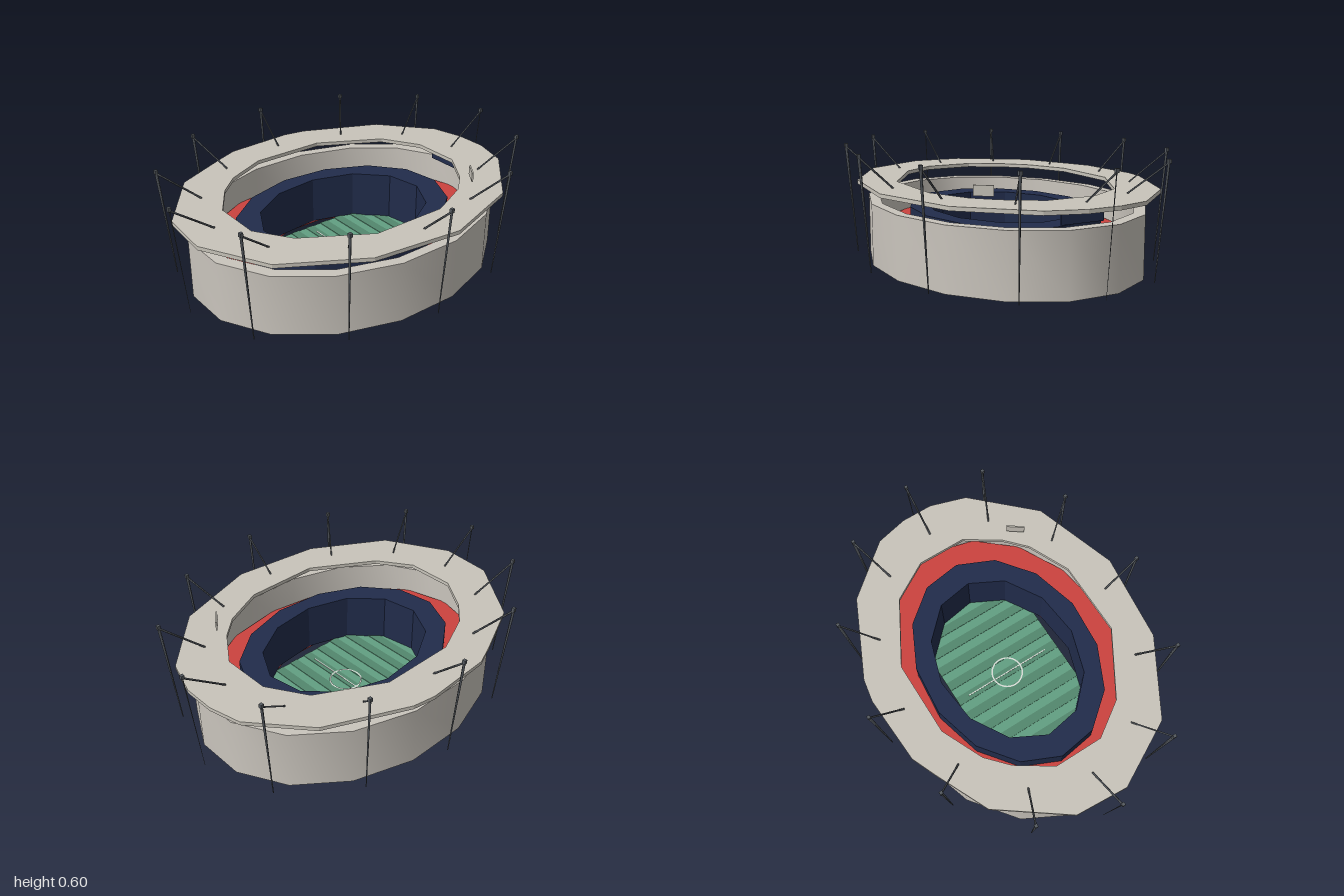
import * as THREE from 'three';
import { toCreasedNormals } from 'three/addons/utils/BufferGeometryUtils.js';

const mat = (name, color) => Object.assign(new THREE.MeshStandardMaterial({ color }), { name });

// Points of a many-sided oval, in plan (x, z)
function oval(rx, rz, sides, turn = 0) {
  return Array.from({ length: sides }, (_, i) => {
    const a = ((i + turn) / sides) * Math.PI * 2;
    return new THREE.Vector2(rx * Math.cos(a), rz * Math.sin(a));
  });
}
const pairs = list => list.map(([x, z]) => new THREE.Vector2(x, z));

// Solid ring between two outlines, from height y0 to y1
function ring(outer, inner, y0, y1, crease) {
  const shape = new THREE.Shape(outer);
  shape.holes.push(new THREE.Path(inner));
  const geo = new THREE.ExtrudeGeometry(shape, { depth: y1 - y0, bevelEnabled: false });
  geo.rotateX(Math.PI / 2).translate(0, y1, 0);
  return crease ? toCreasedNormals(geo, crease) : geo;
}

export function createModel() {
  const concrete = mat('concrete', 0xcac5bd);
  const roofGrey = mat('roof grey', 0xc8c4ba);
  const red = mat('red seats', 0xcc433e);
  const navy = mat('navy seats', 0x212c4b);
  const steel = mat('dark steel', 0x555a60);
  const grass = mat('grass', 0x629f82);
  const mown = mat('mown grass', 0x53886e);
  const white = mat('line white', 0xd8dcd6);

  const model = new THREE.Group();
  const add = (name, geo, material, x = 0, y = 0, z = 0) => {
    const m = new THREE.Mesh(geo, material);
    m.name = name;
    m.position.set(x, y, z);
    model.add(m);
    return m;
  };

  // Outer wall and the seating drums inside it
  add('outerWall', ring(oval(0.865, 0.675, 16, 0.5), oval(0.8, 0.62, 16, 0.5), 0, 0.32, 0.9), concrete);
  add('lowerStand', ring(oval(0.79, 0.61, 16), oval(0.49, 0.38, 14), 0.008, 0.17), red);
  add('upperStand', ring(oval(0.605, 0.465, 14, 0.25), oval(0.475, 0.37, 12, 0.25), 0.02, 0.28), navy);
  add('foundationRing', ring(oval(0.68, 0.52, 14), oval(0.62, 0.47, 14), 0.003, 0.03), concrete);

  // Roof slab with an open middle
  const roofOuter = pairs([
    [0.92, -0.08], [0.92, 0.09], [0.86, 0.28], [0.57, 0.58], [0.12, 0.725], [-0.35, 0.67],
    [-0.74, 0.44], [-0.92, 0.1], [-0.9, -0.18], [-0.65, -0.52], [-0.37, -0.65], [-0.24, -0.705],
    [0.12, -0.725], [0.24, -0.705], [0.65, -0.52], [0.88, -0.25]]);
  const roofInner = pairs([
    [0.65, -0.13], [0.65, 0.13], [0.53, 0.31], [0.42, 0.41], [0.2, 0.51], [-0.2, 0.51], [-0.53, 0.31],
    [-0.65, 0.13], [-0.65, -0.13], [-0.53, -0.31], [-0.42, -0.41], [-0.2, -0.51], [0.2, -0.51], [0.53, -0.33]]);
  add('roof', ring(roofOuter, roofInner, 0.4, 0.42), roofGrey);

  // Striped field with markings
  add('field', new THREE.BoxGeometry(0.94, 0.012, 0.64), grass, 0, 0.014, 0);
  for (let i = 0; i < 9; i++) {
    add('mownStripe', new THREE.BoxGeometry(0.05, 0.004, 0.64), mown, -0.4 + i * 0.1, 0.021, 0);
  }
  add('centreCircle', new THREE.RingGeometry(0.08, 0.088, 32).rotateX(-Math.PI / 2), white, 0, 0.026, 0);
  add('halfwayLine', new THREE.BoxGeometry(0.006, 0.004, 0.5), white, 0, 0.023, 0);

  // Tapered bar between two points
  const bar = (name, a, b, ra, rb) => {
    const dir = b.clone().sub(a);
    const m = add(name, new THREE.CylinderGeometry(rb, ra, dir.length(), 4), steel);
    m.position.copy(a).lerp(b, 0.5);
    m.quaternion.setFromUnitVectors(new THREE.Vector3(0, 1, 0), dir.normalize());
  };

  // Twelve leaning masts, each with a stay down to the roof
  for (let i = 0; i < 12; i++) {
    const a = (i / 12) * Math.PI * 2;
    const at = (rx, rz, y) => new THREE.Vector3(rx * Math.cos(a), y, rz * Math.sin(a));
    const thin = i % 6 === 0 ? 0.4 : 1;
    bar('mast', at(0.935, 0.735, 0.01), at(0.99, 0.782, 0.59), 0.003 * thin, 0.008 * thin);
    bar('stay', at(0.77, 0.61, 0.42), at(0.988, 0.78, 0.58), 0.005, 0.005);
    add('mastCap', new THREE.BoxGeometry(0.016, 0.02, 0.016), steel).position.copy(at(0.99, 0.782, 0.588));
  }

  // Scoreboard in the gap under the roof
  add('scoreboard', new THREE.BoxGeometry(0.01, 0.08, 0.23), navy, 0.74, 0.36, 0);

  // Small panel above the roof, turned to the middle
  add('roofPanel', new THREE.BoxGeometry(0.008, 0.05, 0.095), roofGrey, 0.53, 0.468, 0.39).rotation.y = -0.64;

  return model;
}
